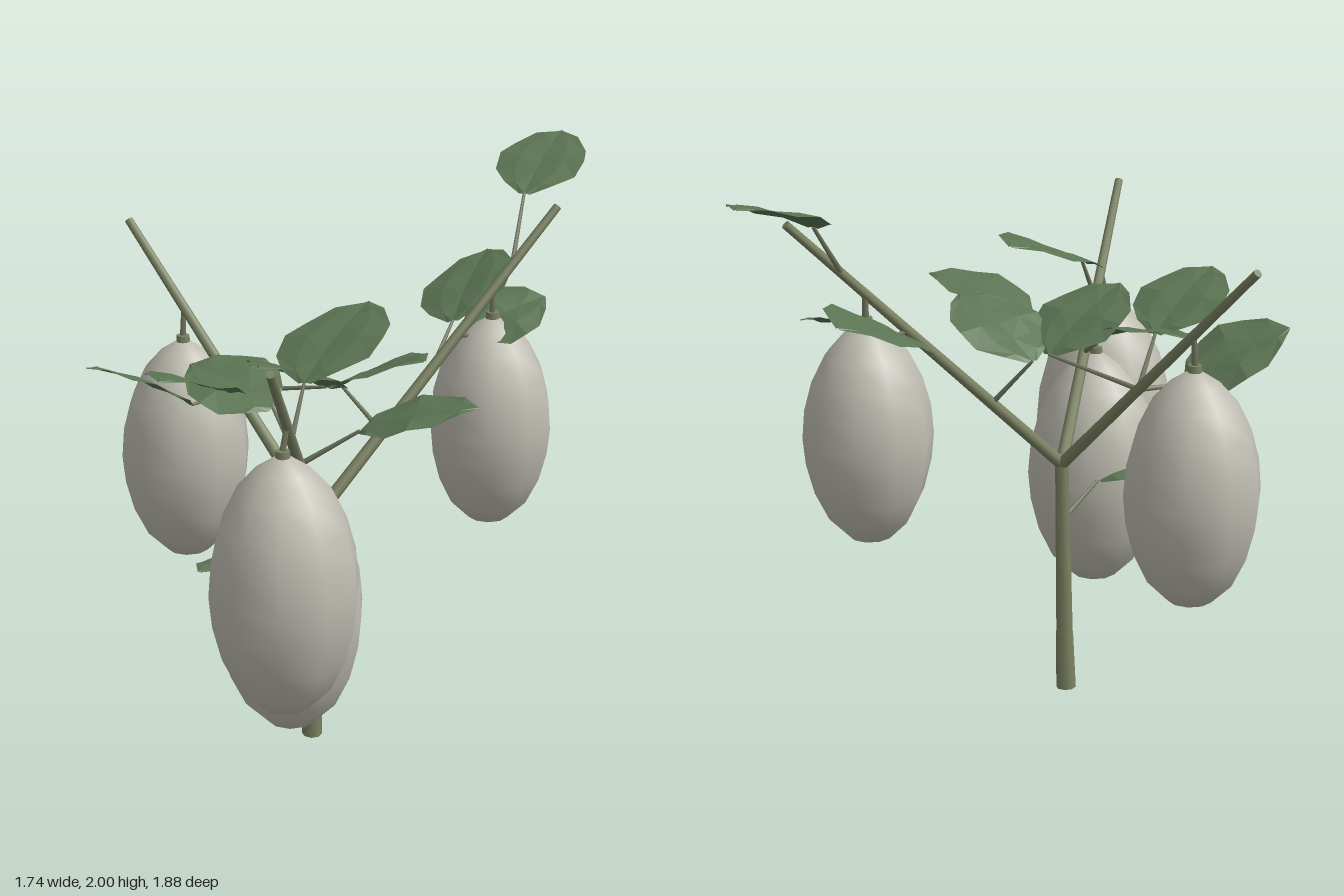
import * as THREE from 'three';

const V = (p) => new THREE.Vector3(...p);
const mat = (color, extra = {}) => new THREE.MeshStandardMaterial({ color, ...extra });

export function createModel() {
  const group = new THREE.Group();
  const bark = mat(0x7b8262);
  const twigBark = mat(0x727860);
  const skin = mat(0xbebcb1);
  const leafGreen = mat(0x5b7553, { side: THREE.DoubleSide, flatShading: true });

  const add = (name, geometry, material) => {
    const mesh = new THREE.Mesh(geometry, material);
    mesh.name = name;
    group.add(mesh);
    return mesh;
  };

  // Tapered rod between two points
  const rod = (name, a, b, r0, r1, material = bark, sides = 8) => {
    const dir = b.clone().sub(a);
    const mesh = add(name, new THREE.CylinderGeometry(r1, r0, dir.length(), sides), material);
    mesh.position.copy(a).add(b).multiplyScalar(0.5);
    mesh.quaternion.setFromUnitVectors(new THREE.Vector3(0, 1, 0), dir.normalize());
  };

  // Trunk: thicker foot, then slimmer stem up to the fork
  const fork = V([-0.08, 0.86, 0.07]);
  const knee = V([-0.093, 0.22, 0.064]);
  rod('trunkFoot', V([-0.1, 0, 0.06]), knee, 0.036, 0.031);
  rod('trunk', knee, fork, 0.03, 0.024);

  // Three main branches
  const tips = {
    front: V([-0.18, 1.695, 0.925]),
    right: V([-0.78, 1.75, -0.545]),
    left: V([0.755, 1.835, -0.475]),
  };
  for (const [side, tip] of Object.entries(tips)) rod(side + 'Branch', fork, tip, 0.023, 0.015);
  const onBranch = (side, t) => fork.clone().lerp(tips[side], t);

  // Hanging fruits: lathed egg profile, ten sides, with a cap and a short stalk
  const profile = [[0, 0], [0.33, 0.025], [0.63, 0.11], [0.84, 0.235], [0.96, 0.37], [1, 0.49],
    [0.96, 0.62], [0.84, 0.745], [0.63, 0.865], [0.36, 0.95], [0.12, 0.995], [0, 1]];
  const fruits = [
    // bottom centre, height, radius, branch, position along the branch
    [[-0.16, 0.41, 0.655], 0.91, 0.254, 'front', 0.67],
    [[-0.15, 0.265, 0.48], 0.89, 0.252, 'front', 0.48],
    [[-0.575, 0.53, -0.355], 0.83, 0.236, 'right', 0.7],
    [[0.53, 0.69, -0.325], 0.78, 0.224, 'left', 0.73],
  ];
  for (const [base, h, r, side, t] of fruits) {
    const pts = profile.map(([x, y]) => new THREE.Vector2(x * r, y * h));
    add('fruit', new THREE.LatheGeometry(pts, 10), skin).position.set(...base);
    const top = V(base).setY(base[1] + h - 0.02);
    const cap = top.clone().setY(top.y + 0.04);
    rod('fruitCap', top, cap, 0.026, 0.023);
    rod('fruitStalk', cap, onBranch(side, t), 0.012, 0.01, twigBark, 6);
  }

  // Leaf blade: cross-sections along a base-to-tip line, slightly cupped and rolled sideways
  const outline = [[0, 0.12], [0.1, 0.57], [0.28, 0.94], [0.48, 1], [0.68, 0.86], [0.87, 0.5], [1, 0.03]];
  const columns = [-1, -0.5, 0, 0.5, 1];
  const leafGeometry = (a, b, halfWidth, roll) => {
    const dir = b.clone().sub(a);
    const across = new THREE.Vector3(dir.z, 0, -dir.x).normalize().setY(roll);
    const up = dir.clone().cross(across).normalize();
    const pos = [], index = [];
    outline.forEach(([t, w], i) => {
      for (const c of columns) {
        const wave = (i % 2 ? 0.008 : -0.004) * Math.abs(c);
        const lift = 0.03 * w * Math.abs(c) * (1 - Math.abs(c)) + 0.018 * Math.sin(Math.PI * t) + wave;
        const p = a.clone().addScaledVector(dir, t)
          .addScaledVector(across, c * w * halfWidth).addScaledVector(up, lift);
        pos.push(p.x, p.y, p.z);
      }
    });
    const n = columns.length;
    for (let i = 0; i < outline.length - 1; i++) {
      for (let j = 0; j < n - 1; j++) {
        const k = i * n + j;
        if ((i + j) % 2) index.push(k, k + n, k + 1, k + 1, k + n, k + n + 1);
        else index.push(k, k + n, k + n + 1, k, k + n + 1, k + 1);
      }
    }
    const g = new THREE.BufferGeometry();
    g.setAttribute('position', new THREE.Float32BufferAttribute(pos, 3));
    g.setIndex(index);
    g.computeVertexNormals();
    return g;
  };

  // Leaves: stalk start, blade base, blade tip, half width, sideways roll
  const leaves = [
    [onBranch('left', 0.81), [0.64, 1.855, -0.57], [0.79, 1.995, -0.94], 0.16, 0],
    [onBranch('left', 0.48), [0.39, 1.44, -0.37], [0.52, 1.585, -0.78], 0.165, -0.32],
    [onBranch('left', 0.58), [0.45, 1.41, -0.3], [0.72, 1.51, -0.45], 0.15, 0.28],
    [onBranch('left', 0.27), [0.0, 1.29, -0.1], [0.29, 1.46, 0.12], 0.185, 0],
    [onBranch('right', 0.42), [-0.05, 1.3, -0.05], [-0.26, 1.48, 0.26], 0.18, 0],
    [onBranch('front', 0.57), [-0.1, 1.5, 0.46], [0.1, 1.65, 0.06], 0.185, -0.15],
    [onBranch('front', 0.4), [0.08, 1.32, 0.42], [0.465, 1.43, 0.48], 0.17, 0],
    [onBranch('right', 0.42), [-0.52, 1.22, -0.07], [-0.865, 1.4, 0.06], 0.175, 0.25],
    [onBranch('right', 0.42), [-0.4, 1.34, 0.12], [-0.57, 1.5, 0.46], 0.17, 0],
    [onBranch('front', 0.38), [-0.22, 1.31, 0.19], [-0.52, 1.38, -0.05], 0.165, -0.22],
    [V([-0.085, 0.65, 0.07]), [-0.19, 0.74, 0.25], [-0.45, 0.86, 0.54], 0.14, 0.15],
  ];
  for (const [start, base, tip, w, roll] of leaves) {
    rod('leafStalk', start, V(base), 0.01, 0.006, twigBark, 6);
    add('leaf', leafGeometry(V(base), V(tip), w, roll), leafGreen);
  }

  return group;
}
